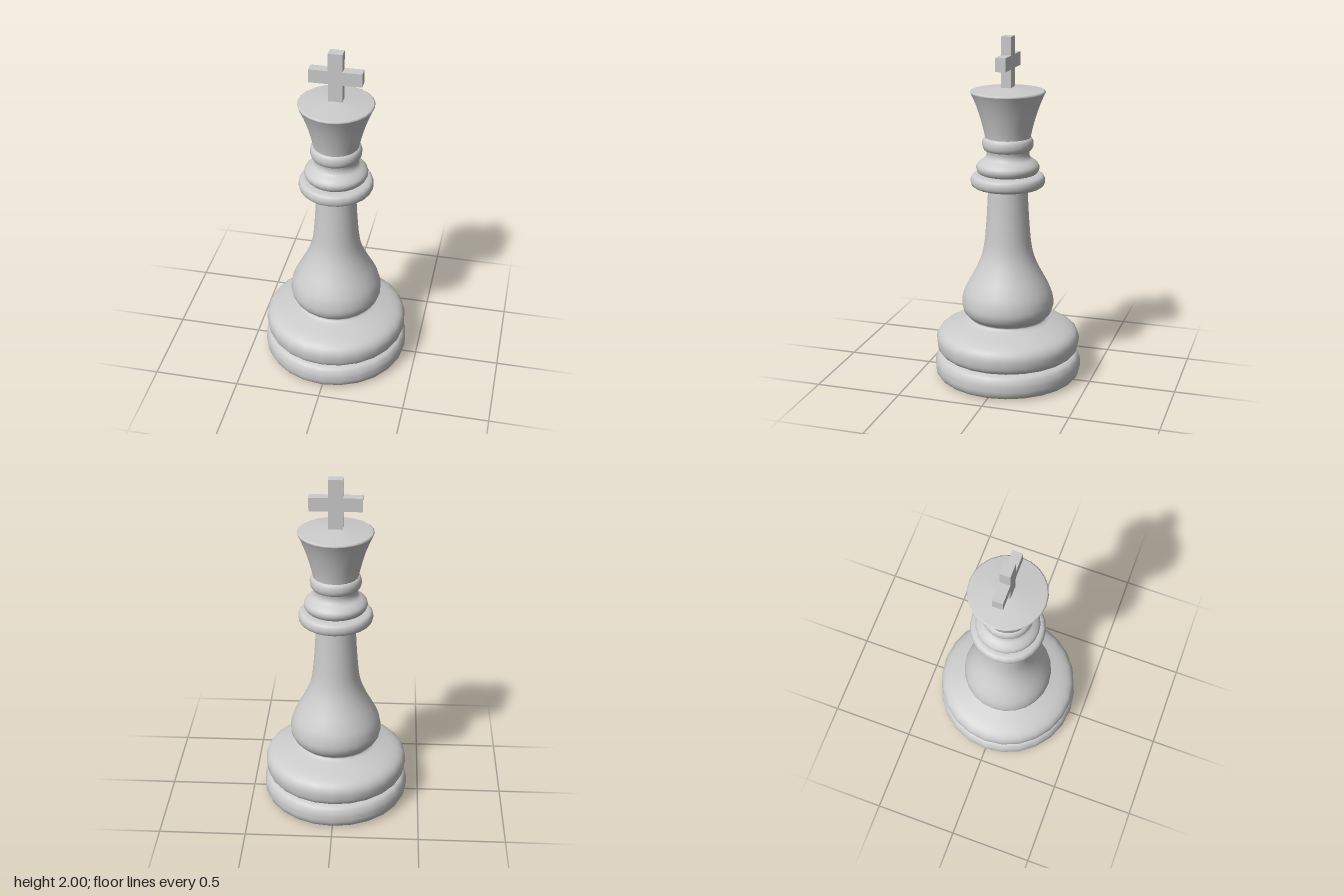
import * as THREE from 'three';

const SIDES = 24;

export function createModel() {
  const group = new THREE.Group();
  const material = new THREE.MeshStandardMaterial({ color: 0xcccccc });

  const add = (name, geometry) => {
    const mesh = new THREE.Mesh(geometry, material);
    mesh.name = name;
    group.add(mesh);
  };

  // Turned part: [radius, height] points from bottom to top, optionally smoothed
  const turned = (name, profile, smoothSteps = 0) => {
    let points = profile.map(([r, y]) => new THREE.Vector2(r, y));
    if (smoothSteps) points = new THREE.SplineCurve(points).getPoints(smoothSteps);
    add(name, new THREE.LatheGeometry(points, SIDES));
  };

  // Base: flat underside and two stacked rounded discs
  turned('baseUnderside', [[0, 0], [0.385, 0]]);
  turned('lowerBase', [[0.385, 0], [0.412, 0.012], [0.427, 0.04], [0.43, 0.07],
    [0.427, 0.1], [0.412, 0.13], [0.385, 0.143], [0.36, 0.145]], 24);
  turned('upperBase', [[0.36, 0.145], [0.387, 0.149], [0.411, 0.172], [0.42, 0.215],
    [0.416, 0.252], [0.395, 0.282], [0.35, 0.306], [0.28, 0.328], [0.235, 0.342],
    [0.22, 0.355], [0.225, 0.366]], 36);

  // Body: bulb tapering into a slim stem
  turned('body', [[0.225, 0.366], [0.25, 0.388], [0.266, 0.425], [0.267, 0.465],
    [0.256, 0.515], [0.228, 0.575], [0.19, 0.645], [0.157, 0.72], [0.137, 0.8],
    [0.125, 0.92], [0.117, 1.05], [0.113, 1.15]], 40);

  // Collars: a wide ring, a ring flowing into the neck, and a small top ring
  turned('wideCollarUnderside', [[0.1, 1.146], [0.19, 1.146]]);
  turned('wideCollar', [[0.19, 1.146], [0.207, 1.158], [0.213, 1.182],
    [0.207, 1.206], [0.188, 1.218], [0.15, 1.222]], 18);
  turned('middleCollar', [[0.15, 1.222], [0.168, 1.228], [0.18, 1.25], [0.178, 1.272],
    [0.16, 1.292], [0.132, 1.312], [0.122, 1.335], [0.124, 1.358]], 24);
  turned('upperCollar', [[0.115, 1.355], [0.133, 1.36], [0.143, 1.376], [0.146, 1.395],
    [0.143, 1.415], [0.133, 1.43], [0.115, 1.436]], 18);

  // Head: flared cup with a thin rim and a shallow conical cap
  turned('head', [[0.128, 1.425], [0.137, 1.47], [0.154, 1.535], [0.175, 1.6],
    [0.197, 1.655], [0.211, 1.685]], 16);
  turned('headRim', [[0.211, 1.685], [0.213, 1.692], [0.206, 1.697]]);
  turned('headCap', [[0.206, 1.697], [0.1, 1.71], [0, 1.721]]);

  // Cross finial, outlined once and extruded
  const arm = 0.147, half = 0.04, low = 1.71, armLow = 1.82, armHigh = 1.897, top = 2;
  const right = [[half, low], [half, armLow], [arm, armLow], [arm, armHigh], [half, armHigh], [half, top]];
  const left = right.map(([x, y]) => [-x, y]).reverse();
  const outline = new THREE.Shape([...right, ...left].map(([x, y]) => new THREE.Vector2(x, y)));
  const cross = new THREE.ExtrudeGeometry(outline, { depth: 0.058, bevelEnabled: false });
  cross.translate(0, 0, -0.03);
  add('cross', cross);

  return group;
}
